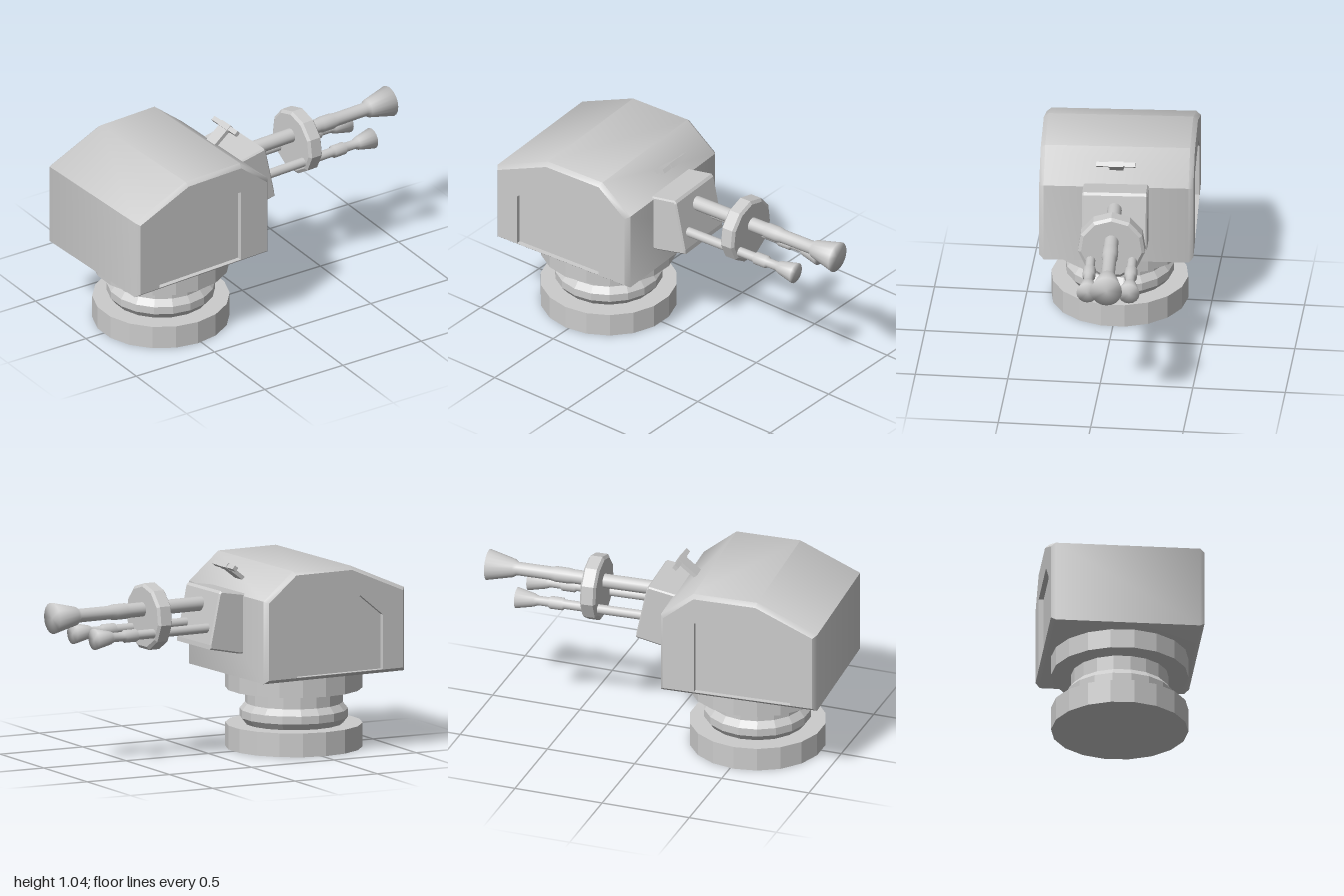
import * as THREE from 'three';
import { mergeGeometries, toCreasedNormals } from 'three/addons/utils/BufferGeometryUtils.js';

const V = (x, y) => new THREE.Vector2(x, y);
const grey = (flatShading = false) => new THREE.MeshStandardMaterial({ color: 0xcccccc, flatShading });

function add(parent, name, geometry, flat = false) {
  const mesh = new THREE.Mesh(geometry, grey(flat));
  mesh.name = name;
  parent.add(mesh);
  return mesh;
}

// Strip of quads joining two matching outlines at different depths
function band(a, za, b, zb) {
  const pos = [];
  a.forEach((p, i) => {
    const j = (i + 1) % a.length;
    const A = [p.x, p.y, za], B = [a[j].x, a[j].y, za];
    const C = [b[j].x, b[j].y, zb], D = [b[i].x, b[i].y, zb];
    pos.push(...A, ...B, ...C, ...A, ...C, ...D);
  });
  return new THREE.BufferGeometry().setAttribute('position', new THREE.Float32BufferAttribute(pos, 3));
}

// Flat filled outline at a given depth
function face(outline, z, hole) {
  const shape = new THREE.Shape(outline);
  if (hole) shape.holes.push(new THREE.Path(hole));
  const g = new THREE.ShapeGeometry(shape).toNonIndexed().translate(0, 0, z);
  g.deleteAttribute('uv');
  g.deleteAttribute('normal');
  return g;
}

// Mirror across z and restore the winding
function mirrorZ(geometry) {
  const g = geometry.clone().scale(1, 1, -1);
  const p = g.attributes.position;
  const a = new THREE.Vector3(), b = new THREE.Vector3();
  for (let i = 0; i < p.count; i += 3) {
    a.fromBufferAttribute(p, i + 1);
    b.fromBufferAttribute(p, i + 2);
    p.setXYZ(i + 1, b.x, b.y, b.z);
    p.setXYZ(i + 2, a.x, a.y, a.z);
  }
  return g;
}

// Move every edge of a counter-clockwise outline inwards by d
function inset(pts, d) {
  const n = pts.length;
  const normal = (p, q) => V(p.y - q.y, q.x - p.x).normalize();
  return pts.map((p, i) => {
    const n1 = normal(pts[(i + n - 1) % n], p), n2 = normal(p, pts[(i + 1) % n]);
    return p.clone().addScaledVector(n1.clone().add(n2), d / (1 + n1.dot(n2)));
  });
}

// Round part lying along x; profile points are (radius, x)
function barrel(points, sides) {
  return new THREE.LatheGeometry(points.map(([r, x]) => V(r, x)), sides).rotateZ(-Math.PI / 2);
}

export function createModel() {
  const model = new THREE.Group();
  model.name = 'gunTurret';
  const turret = new THREE.Group();
  turret.name = 'turret';
  turret.position.x = -0.52;
  turret.rotation.y = 0.055;
  model.add(turret);

  // Pedestal: foot, bulged collar, neck and upper ring
  const pedestal = [[0, 0], [0.37, 0], [0.37, 0.13], [0.265, 0.13], [0.292, 0.165], [0.292, 0.208],
    [0.263, 0.243], [0.263, 0.323], [0.37, 0.323], [0.37, 0.432], [0, 0.432]];
  add(model, 'pedestal', new THREE.LatheGeometry(pedestal.map(([r, y]) => V(r, y)), 18), true).position.x = -0.52;

  // Housing: shell with bevelled sides and a recessed door on each side
  const outline = [V(-0.456, 0.43), V(0.424, 0.43), V(0.424, 0.88), V(0.24, 1.03), V(-0.12, 1.03), V(-0.456, 0.885)];
  const inner = inset(outline, 0.02);
  const door = [V(-0.31, 0.452), V(0.23, 0.452), V(0.23, 0.865), V(-0.17, 0.865), V(-0.31, 0.75)];
  const zShell = 0.39, zFace = 0.415, zDoor = 0.388;
  const side = mergeGeometries([
    band(outline, zShell, inner, zFace),
    face(inner, zFace, door),
    band(door, zFace, door, zDoor),
    face(door, zDoor),
  ]);
  const housing = mergeGeometries([band(outline, -zShell, outline, zShell), side, mirrorZ(side)]);
  add(turret, 'housing', toCreasedNormals(housing, 0.7));

  // Gun mount: wedge block on the front of the housing
  const mount = new THREE.Shape([V(0.4, 0.565), V(0.448, 0.567), V(0.632, 0.605), V(0.63, 0.63),
    V(0.572, 0.905), V(0.56, 0.918), V(0.4, 0.89)]);
  add(turret, 'gunMount', new THREE.ExtrudeGeometry(mount, {
    depth: 0.336, bevelThickness: 0.008, bevelSize: 0.008, bevelOffset: -0.008, bevelSegments: 1,
  }).translate(0, 0, -0.168), true);

  // Main barrel with flared muzzle
  const main = [[0, 0.5], [0.039, 0.5], [0.039, 1.04], [0.043, 1.06], [0.043, 1.13], [0.037, 1.16],
    [0.037, 1.35], [0.05, 1.37], [0.085, 1.515], [0, 1.515]];
  add(turret, 'mainBarrel', barrel(main, 20)).position.y = 0.828;

  // Pair of lighter barrels below
  const light = [[0, 0.5], [0.026, 0.5], [0.026, 1.05], [0.035, 1.06], [0.035, 1.13], [0.026, 1.14],
    [0.026, 1.2], [0.036, 1.22], [0.058, 1.32], [0, 1.32]];
  for (const s of [1, -1]) {
    add(turret, s > 0 ? 'frontLightBarrel' : 'rearLightBarrel', barrel(light, 16)).position.set(0, 0.712, s * 0.112);
  }

  // Disc that braces the three barrels
  const disc = [[0, 0.862], [0.165, 0.862], [0.182, 0.874], [0.182, 0.938], [0.165, 0.95], [0, 0.95]];
  const brace = barrel(disc, 11).rotateX(-Math.PI / 2);
  add(turret, 'barrelBrace', brace, true).position.y = 0.787;

  // Sight: tilted arm on the front slope carrying a crossbar
  const sight = new THREE.Group();
  sight.name = 'sight';
  sight.position.set(0.43, 1.02, 0);
  sight.rotation.z = 0.66;
  turret.add(sight);
  add(sight, 'sightArm', new THREE.BoxGeometry(0.17, 0.022, 0.075).translate(-0.085, 0, 0));
  add(sight, 'sightBar', new THREE.BoxGeometry(0.026, 0.024, 0.212));
  add(sight, 'sightBlock', new THREE.BoxGeometry(0.034, 0.03, 0.08));
  return model;
}
